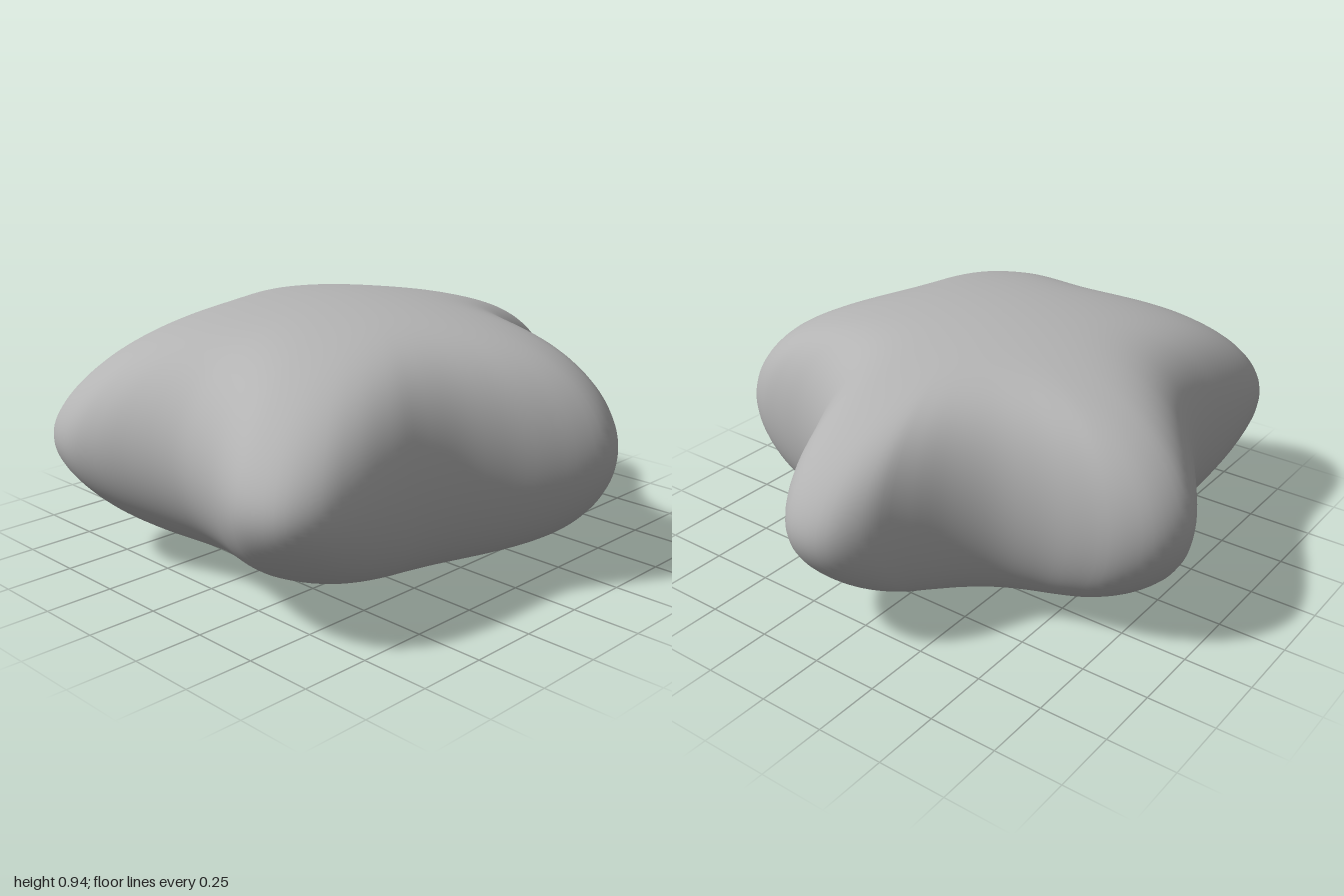
import * as THREE from 'three';
import { mergeVertices } from 'three/addons/utils/BufferGeometryUtils.js';

const MID_HEIGHT = 0.468;

// Half of the star outline (x, z), from the front notch round the left side to the back tip
const HALF_OUTLINE = [
  [0, 0.865], [0.1, 0.88], [0.2, 0.912], [0.35, 0.97], [0.47, 0.997], [0.61, 0.96],
  [0.68, 0.87], [0.705, 0.75], [0.708, 0.57], [0.705, 0.42], [0.73, 0.27], [0.79, 0.13],
  [0.88, -0.02], [0.94, -0.13], [0.965, -0.22], [0.92, -0.33], [0.82, -0.4], [0.7, -0.43],
  [0.54, -0.465], [0.41, -0.525], [0.31, -0.625], [0.23, -0.77], [0.17, -0.9], [0.09, -0.98],
  [0, -1],
];

function starOutline() {
  const mirrored = HALF_OUTLINE.slice(1, -1).reverse().map(([x, z]) => [-x, z]);
  // the back arm leans very slightly to one side
  const points = [...HALF_OUTLINE, ...mirrored].map(
    ([x, z]) => new THREE.Vector3(x + 0.02 * THREE.MathUtils.smoothstep(-z, 0.4, 0.8), 0, z));
  const curve = new THREE.CatmullRomCurve3(points, true, 'centripetal');
  curve.arcLengthDivisions = 1000;
  return curve;
}

// Half thickness: a broad dome over the whole star, rounded off at the rim (t = 1)
function halfThickness(x, z, t) {
  const dome = 0.467 * (1 + 0.06 * z - 0.4 * x * x - 0.48 * z * z);
  return dome * Math.sqrt(Math.max(0, 1 - Math.pow(t, 7)));
}

// Sphere reshaped into a puffy star, its equator following the outline
function puffyStarGeometry() {
  const columns = 180, rows = 96;
  const sphere = new THREE.SphereGeometry(1, columns, rows);
  const position = sphere.attributes.position;
  const rim = starOutline().getSpacedPoints(columns);
  for (let i = 0; i < position.count; i++) {
    const edge = rim[i % (columns + 1)];
    const row = Math.floor(i / (columns + 1));
    const t = row % rows === 0 ? 0 : Math.sin(Math.PI * row / rows);
    const x = edge.x * t, z = edge.z * t;
    const side = Math.sign(rows / 2 - row);
    position.setXYZ(i, x, MID_HEIGHT + side * halfThickness(x, z, t), z);
  }
  sphere.deleteAttribute('uv');
  sphere.deleteAttribute('normal');
  const geometry = mergeVertices(sphere, 1e-5);
  geometry.computeVertexNormals();
  return geometry;
}

export function createModel() {
  const group = new THREE.Group();
  group.name = 'puffyStar';
  const grey = new THREE.MeshStandardMaterial({ color: 0xb3b3b3 });
  grey.name = 'grey';
  const body = new THREE.Mesh(puffyStarGeometry(), grey);
  body.name = 'starBody';
  group.add(body);
  return group;
}
